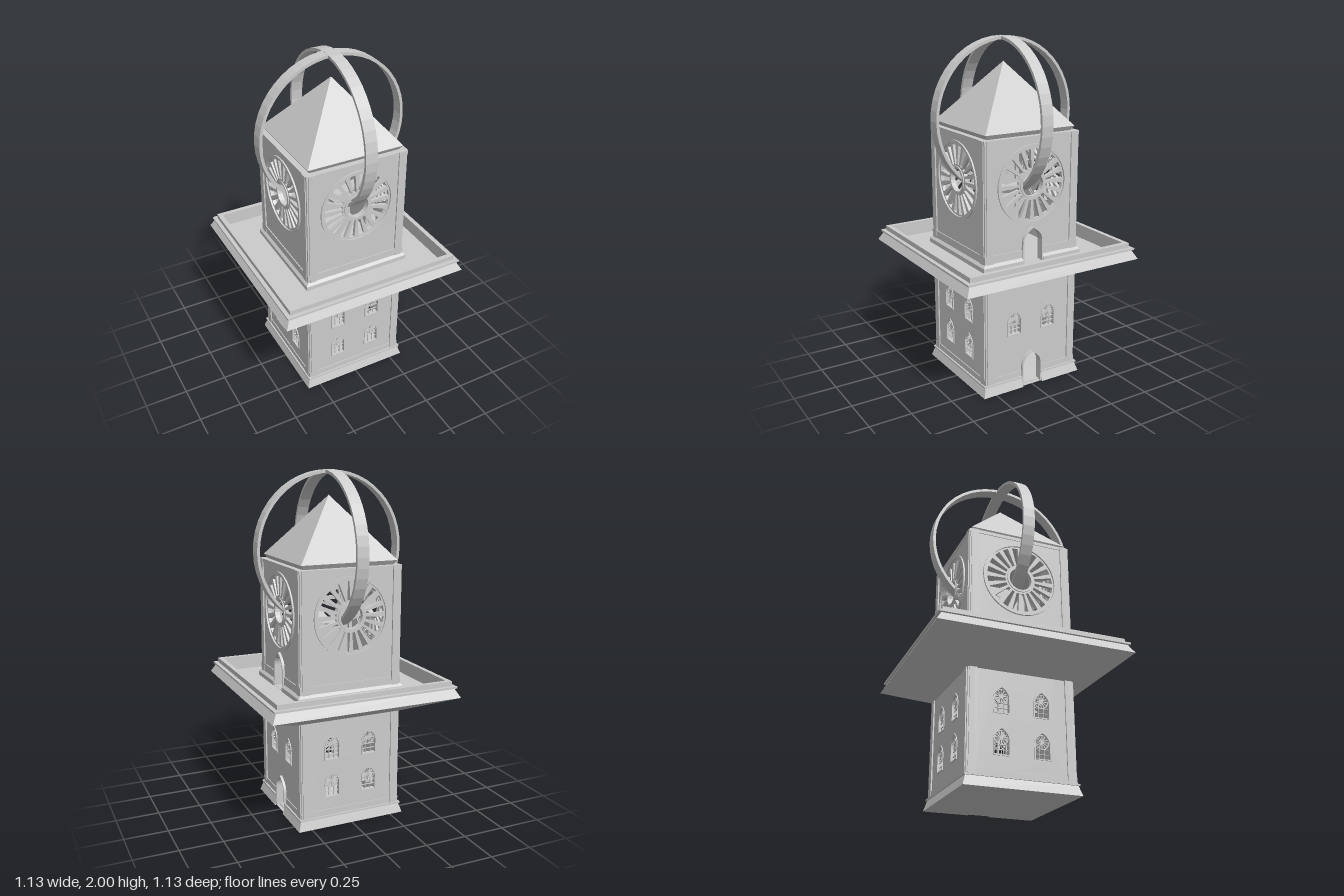
import * as THREE from 'three';

const mat = new THREE.MeshStandardMaterial({ color: 0xcccccc, flatShading: true, side: THREE.DoubleSide });
const WALL = 0.305, TOP = 1.485, CLOCK_Y = 1.215;

function add(parent, name, geo, x = 0, y = 0, z = 0) {
  const m = new THREE.Mesh(geo, mat);
  m.name = name;
  m.position.set(x, y, z);
  parent.add(m);
  return m;
}
const box = (w, h, d) => new THREE.BoxGeometry(w, h, d);
const extrude = (shape, depth, curveSegments = 8) =>
  new THREE.ExtrudeGeometry(shape, { depth, bevelEnabled: false, curveSegments });

// Pointed arch outline
function arch(w, bottom, spring, top, x = 0, T = THREE.Shape) {
  const s = new T(), c = spring + (top - spring) * 0.6;
  s.moveTo(x - w, bottom);
  s.lineTo(x + w, bottom);
  s.lineTo(x + w, spring);
  s.quadraticCurveTo(x + w, c, x, top);
  s.quadraticCurveTo(x - w, c, x - w, spring);
  s.closePath();
  return s;
}

function disc(r, T = THREE.Shape, x = 0, y = 0) {
  const s = new T();
  s.absarc(x, y, r, 0, Math.PI * 2, false);
  return s;
}

function ring(r0, r1, depth, segs) {
  const s = disc(r1);
  s.holes.push(disc(r0, THREE.Path));
  return extrude(s, depth, segs);
}

// Straight run of a square moulding on the +x side; a(r) and b(r) give its two ends
function run(profile, a, b) {
  const g = extrude(new THREE.Shape(profile.map(p => new THREE.Vector2(...p))), 1);
  const p = g.attributes.position;
  for (let i = 0; i < p.count; i++) p.setZ(i, p.getZ(i) < 0.5 ? a(p.getX(i)) : b(p.getX(i)));
  g.computeVertexNormals();
  return g;
}

// Mitred square moulding, with an optional doorway gap on the +x side
function moulding(parent, name, profile, gap = 0) {
  const g = new THREE.Group();
  g.name = name;
  for (let k = 0; k < 4; k++) {
    const runs = gap && k === 0
      ? [run(profile, r => -r, () => -gap), run(profile, () => gap, r => r)]
      : [run(profile, r => -r, r => r)];
    for (const geo of runs) add(g, name + 'Side', geo).rotation.y = k * Math.PI / 2;
  }
  parent.add(g);
}

// Arched window: frame, fan tracery and glazing bars
function windowTracery(x, b) {
  const g = new THREE.Group();
  g.name = 'window';
  const frame = arch(0.047, b - 0.003, b + 0.08, b + 0.15);
  frame.holes.push(arch(0.041, b + 0.003, b + 0.08, b + 0.142, 0, THREE.Path));
  add(g, 'windowFrame', extrude(frame, 0.024), 0, 0, 0.286);
  const cy = b + 0.095;
  add(g, 'fanHub', extrude(disc(0.01), 0.01, 5), 0, cy, 0.29);
  add(g, 'fanRim', ring(0.036, 0.041, 0.01, 8), 0, cy, 0.29);
  for (let i = 0; i < 12; i++) {
    const t = i * Math.PI / 6;
    add(g, 'fanSpoke', box(0.03, 0.005, 0.01), Math.cos(t) * 0.024, cy + Math.sin(t) * 0.024, 0.295).rotation.z = t;
  }
  for (const s of [-1, 1]) add(g, 'verticalBar', box(0.003, 0.06, 0.008), s * 0.015, b + 0.03, 0.295);
  for (const h of [0.03, 0.057]) add(g, 'crossBar', box(0.086, 0.003, 0.008), 0, b + h, 0.295);
  g.position.x = x;
  return g;
}

// Round wheel opening with wedge spokes
function wheel() {
  const g = new THREE.Group(), n = 20, s = disc(0.222);
  g.name = 'wheelWindow';
  s.holes.push(disc(0.07, THREE.Path));
  for (let i = 0; i < n; i++) {
    const t = (i + 0.5) * Math.PI * 2 / n, h = Math.PI / n * 0.56, p = new THREE.Path();
    p.absarc(0, 0, 0.2, t - h, t + h, false);
    p.absarc(0, 0, 0.09, t + h, t - h, true);
    p.closePath();
    s.holes.push(p);
  }
  add(g, 'wheelSpokes', extrude(s, 0.02, 16), 0, CLOCK_Y, 0.284);
  add(g, 'wheelRim', ring(0.21, 0.226, 0.034, 24), 0, CLOCK_Y, 0.28);
  add(g, 'wheelHub', ring(0.067, 0.08, 0.03, 12), 0, CLOCK_Y, 0.28);
  return g;
}

// One wall facing +z: windows, wheel opening and, where wanted, two doorways
function wall(hasDoors) {
  const g = new THREE.Group();
  g.name = hasDoors ? 'doorWall' : 'wall';
  const s = new THREE.Shape([[-0.3, 0], [0.3, 0], [0.3, TOP], [-0.3, TOP]].map(p => new THREE.Vector2(...p)));
  s.holes.push(disc(0.222, THREE.Path, 0, CLOCK_Y));
  for (const b of hasDoors ? [0.34] : [0.175, 0.4]) {
    for (const x of [-0.115, 0.115]) {
      s.holes.push(arch(0.045, b, b + 0.08, b + 0.146, x, THREE.Path));
      g.add(windowTracery(x, b));
    }
  }
  if (hasDoors) {
    for (const b of [0.002, 0.762]) {
      s.holes.push(arch(0.064, b, b + 0.125, b + 0.208, 0, THREE.Path));
      const f = arch(0.068, b, b + 0.125, b + 0.214);
      f.holes.push(arch(0.06, b + 0.002, b + 0.125, b + 0.204, 0, THREE.Path));
      add(g, 'doorFrame', extrude(f, 0.045), 0, 0, 0.275);
    }
  }
  add(g, 'wallPanel', extrude(s, 0.03, 16), 0, 0, WALL - 0.03);
  return g;
}

export function createModel() {
  const tower = new THREE.Group();
  tower.name = 'clockTower';

  // Four walls; the +x wall carries the doors
  for (let k = 0; k < 4; k++) {
    const w = wall(k === 1);
    w.add(wheel());
    w.rotation.y = k * Math.PI / 2;
    tower.add(w);
  }

  // Notched corner pillars
  const pts = [[0.255, 0.255], [0.313, 0.255], [0.313, 0.298], [0.307, 0.298], [0.307, 0.307],
    [0.298, 0.307], [0.298, 0.313], [0.255, 0.313]];
  const pillar = extrude(new THREE.Shape(pts.map(p => new THREE.Vector2(...p))), TOP - 0.03).rotateX(-Math.PI / 2);
  for (let k = 0; k < 4; k++) add(tower, 'cornerPillar', pillar, 0, 0.03, 0).rotation.y = k * Math.PI / 2;

  // Flared base, skirting and balcony
  moulding(tower, 'base', [[0.27, 0], [0.33, 0], [0.313, 0.055], [0.32, 0.055], [0.32, 0.065],
    [0.31, 0.065], [0.31, 0.1], [0.27, 0.1]], 0.066);
  moulding(tower, 'skirting', [[0.28, 0.755], [0.325, 0.755], [0.325, 0.785], [0.311, 0.8],
    [0.311, 0.845], [0.28, 0.845]], 0.066);
  moulding(tower, 'balcony', [[0.29, 0.632], [0.313, 0.635], [0.563, 0.75], [0.533, 0.803], [0.547, 0.803],
    [0.547, 0.814], [0.524, 0.814], [0.524, 0.842], [0.497, 0.842], [0.497, 0.76], [0.29, 0.76]]);
  moulding(tower, 'topTrim', [[0.28, 1.465], [0.309, 1.465], [0.309, TOP], [0.28, TOP]]);

  // Floors
  add(tower, 'groundFloor', box(0.6, 0.01, 0.6), 0, 0.005, 0);
  add(tower, 'upperFloor', box(0.58, 0.02, 0.58), 0, 0.75, 0);
  add(tower, 'roofDeck', box(0.6, 0.01, 0.6), 0, TOP - 0.006, 0);

  // Stair climbing round the inside of the walls
  for (let f = 0; f < 4; f++) {
    const flight = new THREE.Group();
    flight.name = 'stairFlight';
    for (let i = 0; i < 12; i++) {
      add(flight, 'step', box(0.07, 0.025, 0.034), 0.237, 0.02 + f * 0.18 + i * 0.015, -0.18 + (i + 0.5) * 0.03);
    }
    if (f < 3) add(flight, 'landing', box(0.09, 0.02, 0.09), 0.227, 0.19 + f * 0.18, 0.227);
    flight.rotation.y = Math.PI - f * Math.PI / 2;
    tower.add(flight);
  }

  // Pyramid roof on splayed eaves
  const q = Math.SQRT2;
  add(tower, 'eaves', new THREE.CylinderGeometry(0.29 * q, 0.272 * q, 0.027, 4), 0, 1.4965, 0).rotation.y = Math.PI / 4;
  add(tower, 'roof', new THREE.ConeGeometry(0.29 * q, 0.35, 4), 0, 1.685, 0).rotation.y = Math.PI / 4;

  // Two crossed hoops passing through the wheel hubs
  const hoop = ring(0.428, 0.445, 0.07, 24).translate(0, 0, -0.035);
  for (const a of [0, Math.PI / 2]) add(tower, 'hoop', hoop, 0, 1.555, 0).rotation.y = a;

  return tower;
}
